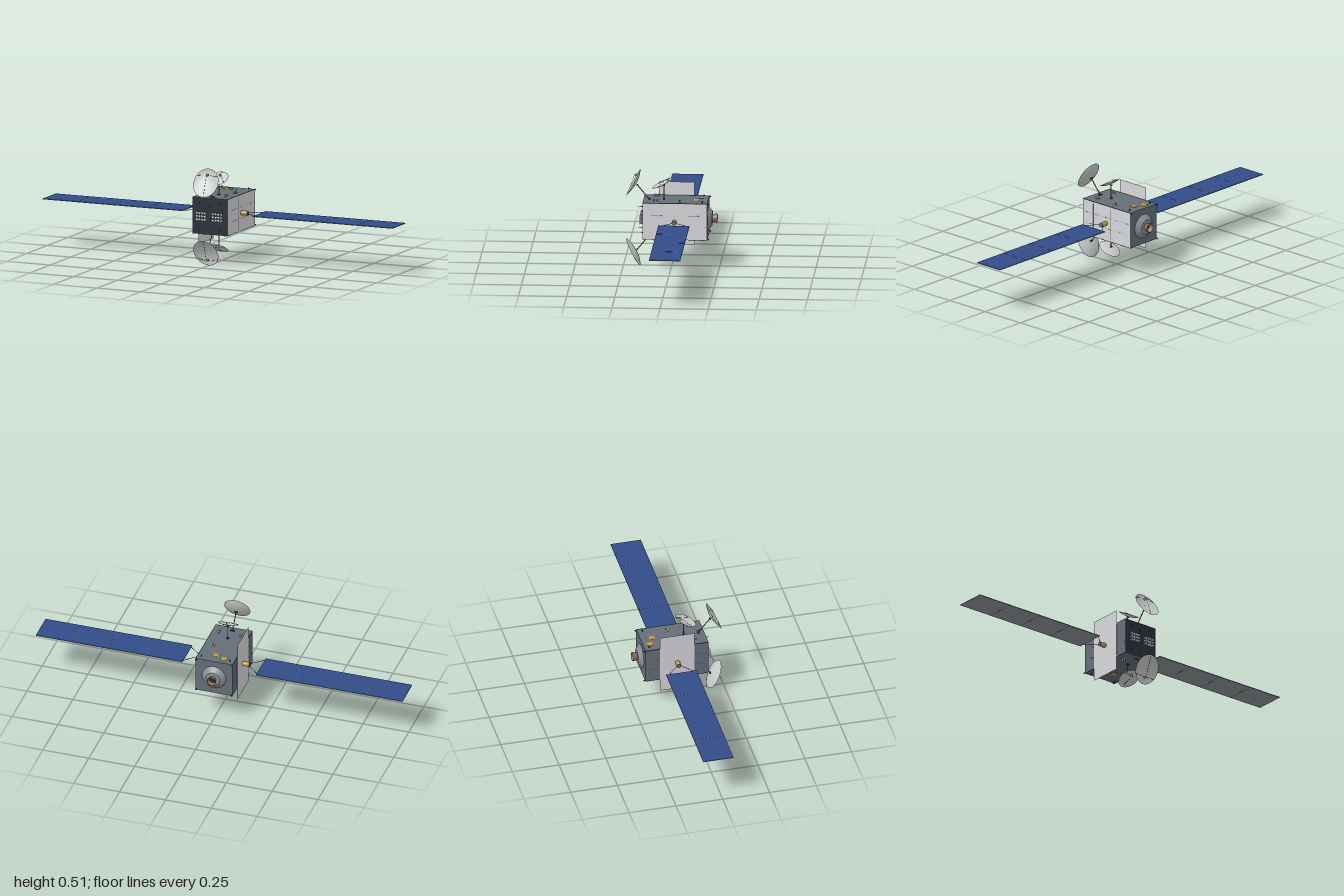
import * as THREE from 'three';

const CY = 0.256; // height of the body's centre line
const mat = (name, color, side = THREE.FrontSide) => {
  const m = new THREE.MeshStandardMaterial({ color, side });
  m.name = name;
  return m;
};
const V = (x, y, z) => new THREE.Vector3(x, y, z);

export function createModel() {
  const root = new THREE.Group();
  root.name = 'satellite';
  const M = {
    body: mat('bodyGrey', 0x656e79),
    light: mat('lightPanel', 0xd6d7dc),
    dark: mat('darkPanel', 0x2b2d38),
    gold: mat('goldFoil', 0xc8973e),
    mast: mat('mastGold', 0x8a6b2e),
    blue: mat('solarBlue', 0x314c8a),
    back: mat('solarBack', 0x8b9096),
    dish: mat('dishWhite', 0xc8c9ca, THREE.DoubleSide),
    bronze: mat('nozzleBronze', 0x8f6b54, THREE.DoubleSide),
    seam: mat('seamGrey', 0x6c6e72),
  };
  const add = (name, geo, material, p = V(0, 0, 0)) => {
    const m = new THREE.Mesh(geo, material);
    m.name = name;
    m.position.copy(p);
    root.add(m);
    return m;
  };
  const box = (name, w, h, d, material, p) => add(name, new THREE.BoxGeometry(w, h, d), material, p);
  // round bar or cone from point a to point b
  const rod = (name, a, b, r0, r1, material, sides = 8) => {
    const dir = b.clone().sub(a);
    const m = add(name, new THREE.CylinderGeometry(r1, r0, dir.length(), sides), material,
      a.clone().add(b).multiplyScalar(0.5));
    m.quaternion.setFromUnitVectors(V(0, 1, 0), dir.normalize());
    return m;
  };

  // Body: pale left wall, dark front, grey elsewhere
  box('body', 0.2, 0.193, 0.336, [M.light, M.body, M.body, M.body, M.dark, M.body], V(0, CY, -0.022));
  for (const s of [-1, 1]) {
    for (const t of [-1, 1]) {
      box('bodyEdge', 0.002, 0.002, 0.337, M.dark, V(s * 0.0995, CY + t * 0.096, -0.022));
      box('frontEdge', 0.002, 0.19, 0.002, M.seam, V(s * 0.0988, CY, 0.1455));
    }
    box('frontCrossEdge', 0.2, 0.002, 0.002, M.seam, V(0, CY + s * 0.0955, 0.1455));
    // seams of the side walls
    for (const z of [0.073, 0.011, -0.052, -0.114])
      box('wallSeam', 0.001, 0.175, 0.0007, M.seam, V(s * 0.1, CY, z));
    for (const y of [-0.029, 0.031])
      box('wallSeam', 0.001, 0.0007, 0.328, M.seam, V(s * 0.1, CY + y, -0.018));
  }

  // Tall radiator plate on the right wall
  box('radiator', 0.0006, 0.334, 0.185, M.light, V(-0.1015, CY, -0.0205));

  // Solar wings
  for (const s of [-1, 1]) {
    for (let i = 0; i < 4; i++) {
      const x = s * (0.3 + 0.2 * i);
      box('solarPanel', 0.1995, 0.004, 0.162, [M.back, M.back, M.blue, M.back, M.back, M.back],
        V(x, CY, -0.0235));
      if (i) box('panelHinge', 0.002, 0.005, 0.162, [M.seam, M.seam, M.seam, M.dark, M.seam, M.seam],
        V(x - s * 0.1, CY, -0.0235));
    }
    const drive = add('wingDrive', new THREE.CapsuleGeometry(0.0125, 0.02, 6, 16), M.gold, V(s * 0.117, CY, -0.02));
    drive.rotation.z = Math.PI / 2;
    rod('driveCap', V(s * 0.136, CY, -0.02), V(s * 0.14, CY, -0.02), 0.0125, 0.0115, M.seam, 20);
    for (const z of [-0.088, 0.042])
      rod('wingYoke', V(s * 0.128, CY, -0.02), V(s * 0.2, CY, z), 0.0014, 0.0014, M.dark);
  }

  // Offset dish: a slice of a paraboloid; map turns dish axes into model axes
  const buildDish = (R, k, map, feed) => {
    const geo = new THREE.RingGeometry(0.0005, R, 48, 8);
    const pos = geo.attributes.position;
    const depth = (u, v) => k * (u * u + (v - R) * (v - R));
    for (let i = 0; i < pos.count; i++) {
      const u = pos.getX(i), v = pos.getY(i);
      const p = map(u, v, depth(u, v));
      pos.setXYZ(i, p.x, p.y, p.z);
    }
    geo.computeVertexNormals();
    add('dish', geo, M.dish);
    const tip = map(0, feed[0], feed[1]);
    for (const a of [-90, 30, 150]) {
      const u = 0.95 * R * Math.cos(a * Math.PI / 180), v = 0.95 * R * Math.sin(a * Math.PI / 180);
      rod('feedStrut', map(u, v, depth(u, v)), tip, 0.0006, 0.0006, M.dark, 5);
    }
    rod('feedHorn', tip, map(0, feed[0] - 0.004, feed[1] - 0.014), 0.003, 0.006, M.light, 12);
  };

  // Foil patches: x, z and size, for the top and the underside
  const topFoil = [[-0.043, -0.152, 0.03], [0.008, -0.13, 0.028], [0.055, -0.043, 0.022]];
  const underFoil = [[0.06, -0.066, 0.028], [0.02, -0.1, 0.028], [-0.045, -0.07, 0.022]];

  for (const s of [-1, 1]) {
    const Y = d => CY + s * d;
    // Large forward dish and small outer dish, with their masts
    buildDish(0.07, 3.75, (u, v, w) => V(u, Y(0.185 + v), 0.1625 + w), [0.042, 0.029]);
    buildDish(0.0535, 4.85, (u, v, w) => V(u, Y(0.1555 + w), 0.0485 + v),
      s > 0 ? [-0.026, 0.049] : [0.026, 0.024]);
    rod('largeDishMast', V(0, Y(0.095), 0.116), V(0, Y(0.174), 0.181), 0.0027, 0.0027, M.mast);
    rod('smallDishMast', V(0, Y(0.095), 0.039), V(0, Y(0.173), 0.039), 0.0027, 0.0027, M.mast);
    box('dishBracket', 0.014, 0.006, 0.006, M.dark, V(0, Y(0.172), 0.179));
    box('dishBracket', 0.012, 0.004, 0.006, M.dark, V(0, Y(0.17), 0.039));
    box('mastFoot', 0.024, 0.004, 0.01, M.dark, V(0, Y(0.0975), 0.116));
    box('mastFoot', 0.016, 0.004, 0.01, M.dark, V(0, Y(0.0975), 0.039));

    for (const [x, z, w] of s > 0 ? topFoil : underFoil)
      box('foilPatch', w, 0.002, w, M.gold, V(x, Y(0.097), z));

    // Small horns and thrusters on top and underside
    for (const x of [-0.06, 0.06])
      for (const z of [0.071, 0.088])
        rod('deckHorn', V(x, Y(0.096), z), V(x, Y(0.11), z), 0.002, 0.0065, M.light, 12);
    rod('deckThruster', V(0.055, Y(0.096), -0.042), V(0.055, Y(0.106), -0.045), 0.0025, 0.005, M.seam, 12);
    for (const x of [-0.077, 0.077])
      rod('deckThruster', V(x, Y(0.096), -0.161), V(x, Y(0.105), -0.165), 0.002, 0.004, M.dark, 12);
    for (const x of [-0.095, 0.095])
      rod('cornerThruster', V(x, Y(0.089), -0.188), V(x * 1.03, Y(0.093), -0.198), 0.002, 0.0045, M.dark, 12);

    // Antenna spikes and nubs on the front
    rod('spikeBase', V(0, Y(0.057), 0.146), V(0, Y(0.057), 0.156), 0.004, 0.002, M.dark, 12);
    rod('spike', V(0, Y(0.057), 0.156), V(0, Y(0.057), 0.175), 0.0035, 0.0005, M.light, 12);
    for (const x of [-0.06, 0.06])
      rod('frontNub', V(x, Y(0.069), 0.146), V(x, Y(0.069), 0.152), 0.003, 0.002, M.dark);

    // Front horn array, one block on each half
    for (let i = 0; i < 4; i++)
      for (let j = -1; j <= 1; j++) {
        const x = s * (0.023 + 0.0155 * i), y = CY + j * 0.0165;
        rod('frontHorn', V(x, y, 0.146), V(x, y, 0.163), 0.002, 0.007, M.light, 12);
      }
  }

  // Main engine at the back
  rod('engineCone', V(0, CY, -0.189), V(0, CY, -0.212), 0.066, 0.038, M.back, 40);
  rod('nozzleThroat', V(0, CY, -0.21), V(0, CY, -0.2135), 0.018, 0.018, M.dark, 24);
  const nozzle = [[0.018, 0.21], [0.0205, 0.218], [0.0225, 0.227], [0.0235, 0.238]];
  const bell = add('engineNozzle',
    new THREE.LatheGeometry(nozzle.map(p => new THREE.Vector2(...p)), 40), M.bronze, V(0, CY, 0));
  bell.rotation.x = -Math.PI / 2; // lathe axis points to the back
  return root;
}
